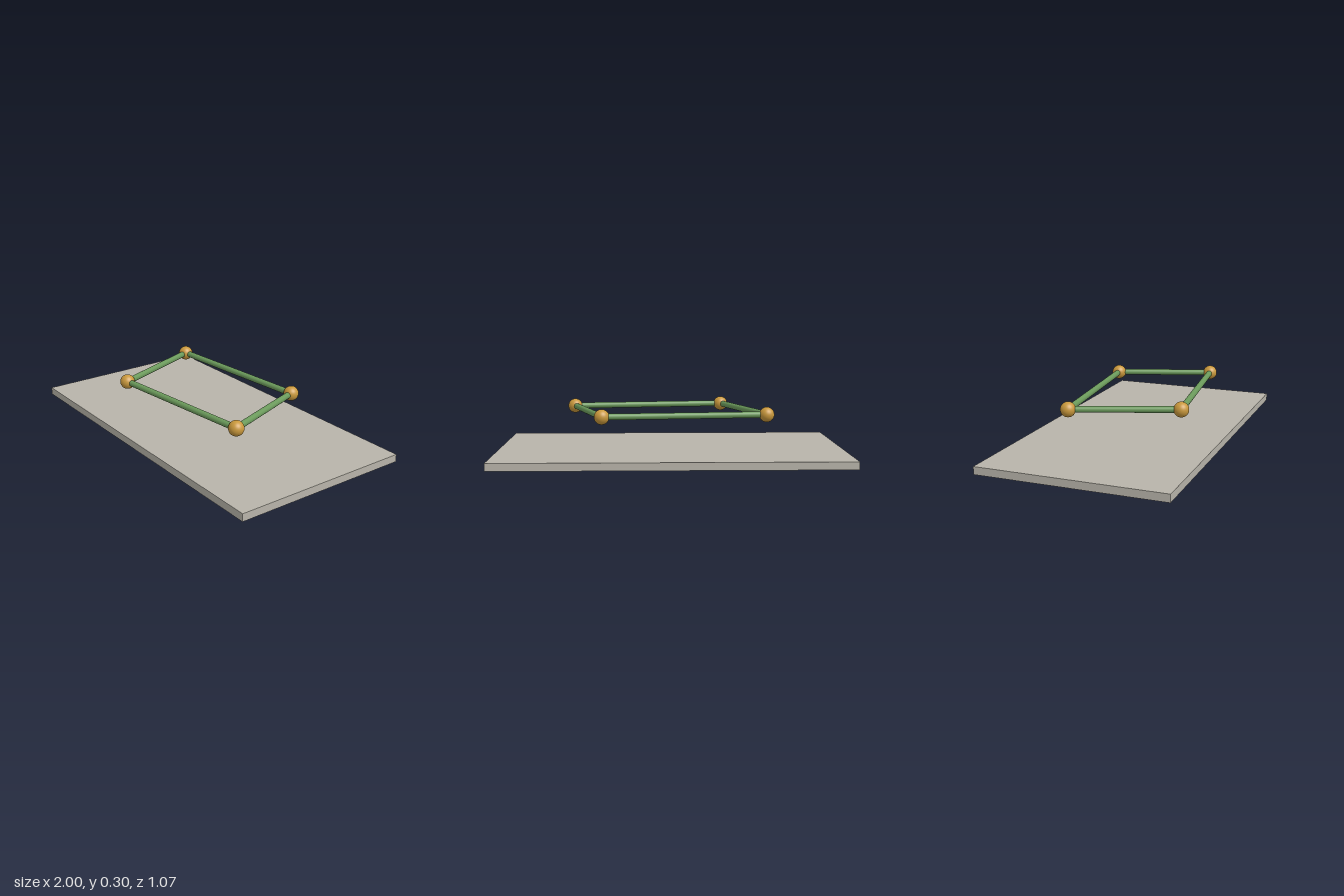
import * as THREE from 'three';

export function createModel() {
  const model = new THREE.Group();
  const material = (name, color) => {
    const m = new THREE.MeshStandardMaterial({ color });
    m.name = name;
    return m;
  };
  const stone = material('warm grey', 0xb8b4aa);
  const green = material('green', 0x6b9a5b);
  const gold = material('gold', 0xc9983c);

  const add = (name, geometry, mat, position) => {
    const mesh = new THREE.Mesh(geometry, mat);
    mesh.name = name;
    mesh.position.copy(position);
    model.add(mesh);
    return mesh;
  };

  // Base slab
  add('base', new THREE.BoxGeometry(2, 0.044, 1.067), stone, new THREE.Vector3(0, 0.022, 0));

  // Four-bar loop: a ball at each corner, a rod to the next corner
  const joints = [[-0.54, -0.215], [0.39, -0.301], [0.583, 0.249], [-0.323, 0.357]]
    .map(([x, z]) => new THREE.Vector3(x, 0.259, z));
  const ball = new THREE.SphereGeometry(0.043, 32, 20);
  const up = new THREE.Vector3(0, 1, 0);

  joints.forEach((a, i) => {
    const b = joints[(i + 1) % joints.length];
    const along = b.clone().sub(a);
    add(`joint${i + 1}`, ball, gold, a);
    const rod = add(`rod${i + 1}`, new THREE.CylinderGeometry(0.018, 0.018, along.length(), 20), green,
      a.clone().add(b).multiplyScalar(0.5));
    rod.quaternion.setFromUnitVectors(up, along.normalize());
  });

  return model;
}
